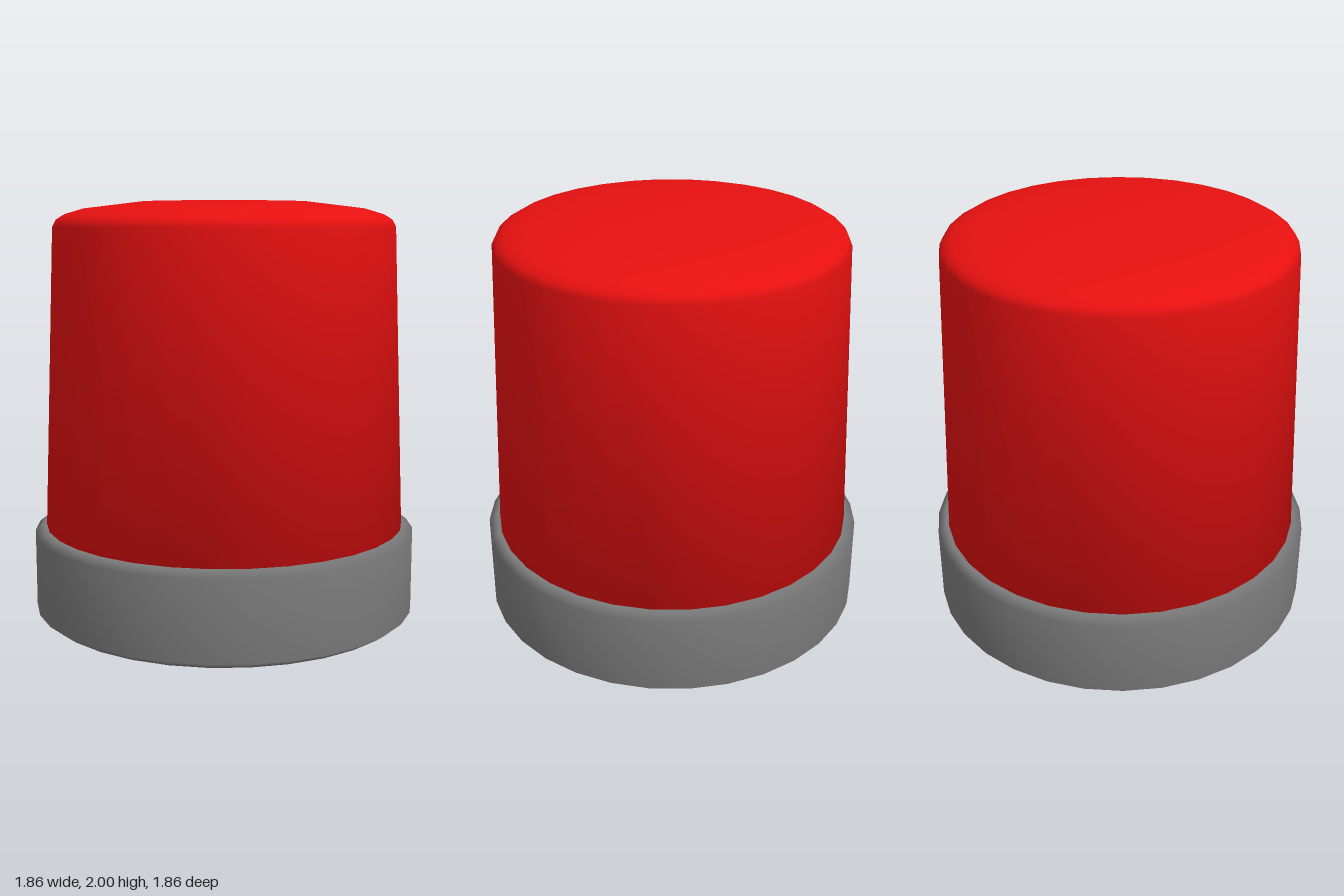
import * as THREE from 'three';

const SIDES = 32;

// Closed solid of revolution; the profile runs from bottom centre to top centre
function turned(name, profile, color) {
  const points = profile.map(([r, y]) => new THREE.Vector2(r, y));
  const mesh = new THREE.Mesh(
    new THREE.LatheGeometry(points, SIDES),
    new THREE.MeshStandardMaterial({ color })
  );
  mesh.name = name;
  return mesh;
}

export function createModel() {
  const group = new THREE.Group();
  group.name = 'beaconLight';

  // Round mounting base with bevelled rims
  group.add(turned('base', [
    [0, 0], [0.77, 0.003], [0.89, 0.01], [0.93, 0.04],
    [0.93, 0.415], [0.89, 0.445], [0, 0.445],
  ], 0x7a7a7a));

  // Tapered lens with a softly rounded crown
  group.add(turned('lens', [
    [0, 0.435], [0.875, 0.435], [0.818, 1.88], [0.8, 1.915],
    [0.76, 1.94], [0.67, 1.967], [0.4, 2], [0, 2],
  ], 0xe81010));

  return group;
}
